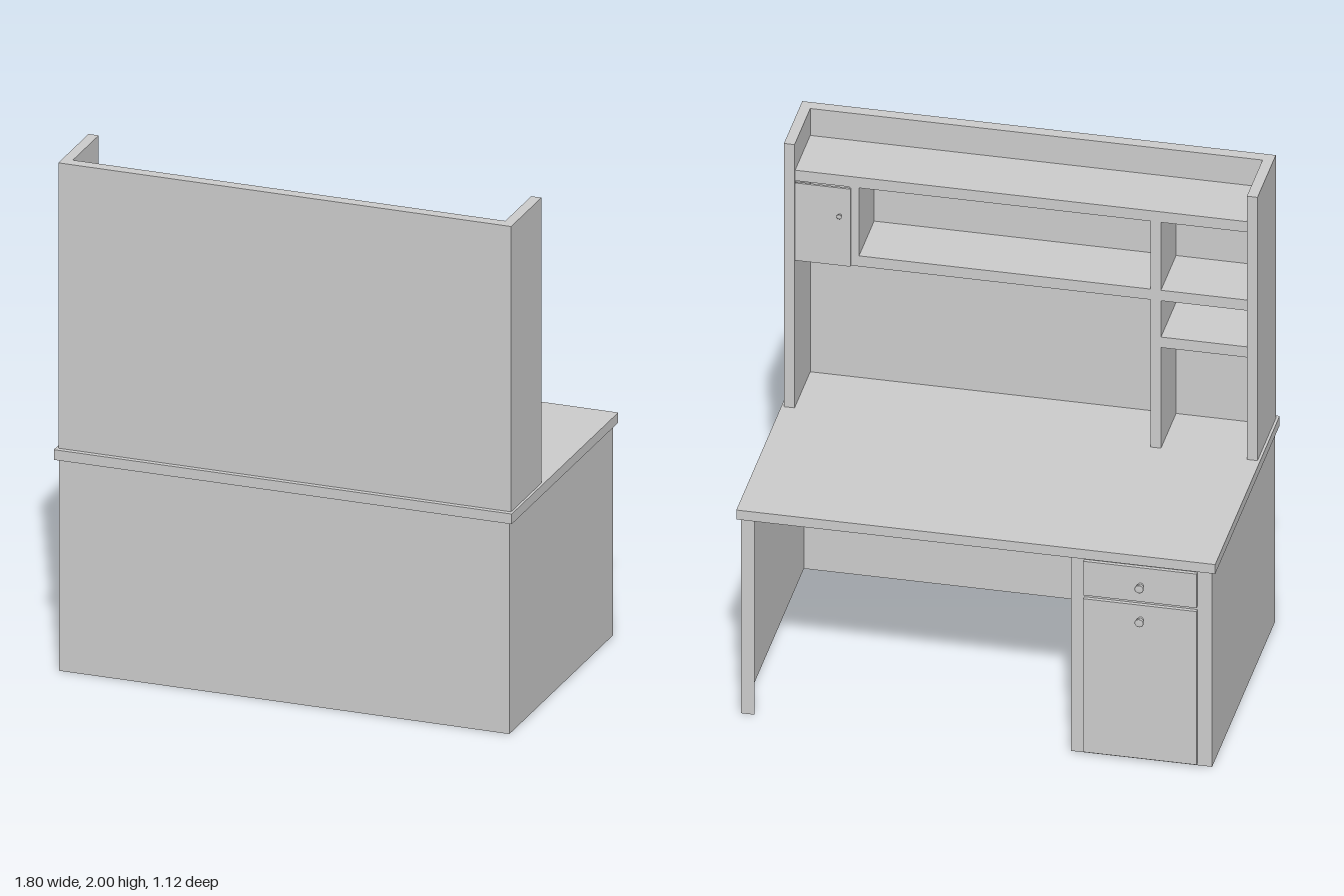
import * as THREE from 'three';

export function createModel() {
  const group = new THREE.Group();
  const solid = new THREE.MeshStandardMaterial({ color: 0xcccccc });
  const sheet = new THREE.MeshStandardMaterial({ color: 0xcccccc, side: THREE.DoubleSide });

  const add = (name, geometry, material = solid) => {
    const mesh = new THREE.Mesh(geometry, material);
    mesh.name = name;
    group.add(mesh);
    return mesh;
  };

  // Box given by its limits on each axis
  const box = (name, [x0, x1], [y0, y1], [z0, z1]) =>
    add(name, new THREE.BoxGeometry(x1 - x0, y1 - y0, z1 - z0))
      .position.set((x0 + x1) / 2, (y0 + y1) / 2, (z0 + z1) / 2);

  // Thin upright sheets of the open-bottomed base
  const underTop = 0.835;
  const sheetX = (name, x, z0, z1) => {
    const mesh = add(name, new THREE.PlaneGeometry(z1 - z0, underTop), sheet);
    mesh.rotation.y = x > 0 ? Math.PI / 2 : -Math.PI / 2;
    mesh.position.set(x, underTop / 2, (z0 + z1) / 2);
  };
  const sheetZ = (name, z, x0, x1) => {
    const mesh = add(name, new THREE.PlaneGeometry(x1 - x0, underTop), sheet);
    mesh.rotation.y = z > 0 ? 0 : Math.PI;
    mesh.position.set((x0 + x1) / 2, underTop / 2, z);
  };

  // Flared knob pointing to -z
  const knob = (name, x, y, z, r, length) => {
    const profile = [[0.6, 0], [0.6, 0.35], [0.8, 0.4], [1, 0.95], [0.9, 1], [0, 1]]
      .map(([a, b]) => new THREE.Vector2(a * r, b * length));
    const mesh = add(name, new THREE.LatheGeometry(profile, 16), sheet);
    mesh.rotation.x = -Math.PI / 2;
    mesh.position.set(x, y, z);
  };

  // Base: back, sides, drawer cabinet and front edges
  const W = 0.885, front = -0.515, back = 0.545;
  sheetZ('baseBack', back, -W, W);
  sheetX('leftSide', W, front, back);
  sheetX('rightSide', -W, front, back);
  sheetX('cabinetSide', -0.355, front, back);
  sheetZ('leftFrontEdge', front, 0.835, W);
  sheetZ('cabinetFrame', front, -W, -0.355);

  // Drawer and cupboard door with knobs
  box('drawerFront', [-0.83, -0.405], [0.68, 0.825], [-0.53, front]);
  box('cabinetDoor', [-0.83, -0.405], [0.01, 0.665], [-0.53, front]);
  knob('drawerKnob', -0.62, 0.75, -0.53, 0.017, 0.031);
  knob('cabinetDoorKnob', -0.62, 0.605, -0.53, 0.017, 0.031);

  // Desktop
  box('desktop', [-0.9, 0.9], [underTop, 0.875], [-0.53, 0.56]);

  // Hutch shell
  const H = 0.89, inner = 0.85, depth = [0.24, 0.495];
  box('hutchBack', [-inner, inner], [0.875, 2], [0.495, 0.54]);
  box('hutchLeftSide', [inner, H], [0.875, 2], [0.23, 0.54]);
  box('hutchRightSide', [-H, -inner], [0.875, 2], [0.23, 0.54]);

  // Shelves and dividers
  box('topShelf', [-inner, inner], [1.84, 1.885], depth);
  box('longShelf', [-0.486, inner], [1.505, 1.55], depth);
  box('tallDivider', [-0.525, -0.486], [0.875, 1.84], depth);
  box('shortDivider', [0.61, 0.645], [1.55, 1.84], depth);
  for (const y of [1.55, 1.35]) box('smallShelf', [-inner, -0.525], [y - 0.045, y], depth);

  // Small hutch door
  box('hutchDoor', [0.64, 0.848], [1.505, 1.836], [0.231, 0.24]);
  knob('hutchDoorKnob', 0.68, 1.72, 0.231, 0.01, 0.014);

  return group;
}
